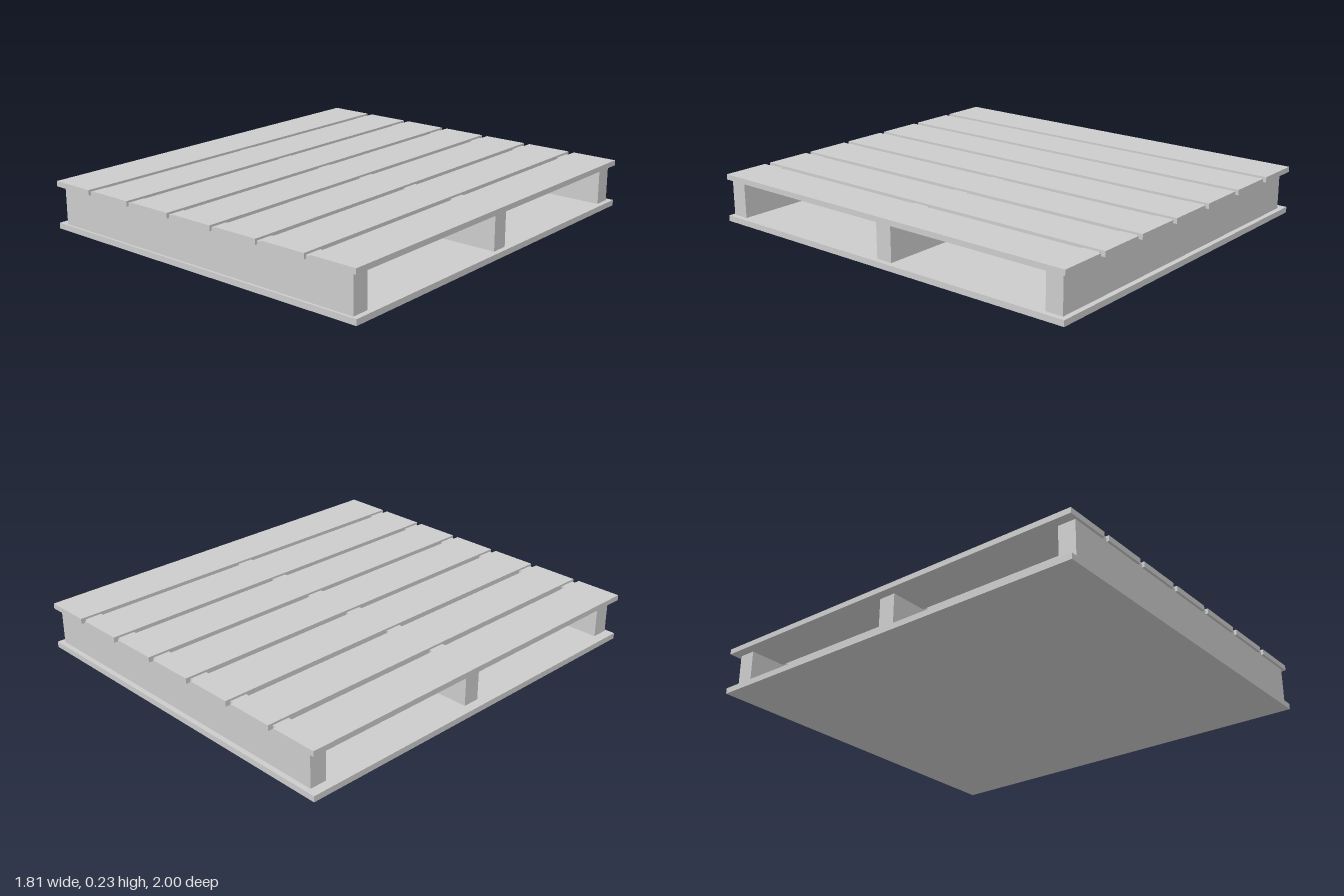
import * as THREE from 'three';

export function createModel() {
  const group = new THREE.Group();
  const material = new THREE.MeshStandardMaterial({ color: 0xcccccc, flatShading: true });

  // Box given by its extents along each axis
  function addBox(name, [x0, x1], [y0, y1], [z0, z1]) {
    const mesh = new THREE.Mesh(new THREE.BoxGeometry(x1 - x0, y1 - y0, z1 - z0), material);
    mesh.position.set((x0 + x1) / 2, (y0 + y1) / 2, (z0 + z1) / 2);
    mesh.name = name;
    group.add(mesh);
  }

  // Solid bottom board
  addBox('baseBoard', [-0.903, 0.903], [0, 0.028], [-1, 1]);

  // Three stringers, let slightly into the deck so they show between the slats
  [0.946, -0.016, -0.933].forEach((z, i) =>
    addBox(`stringer${i + 1}`, [-0.856, 0.877], [0.028, 0.222], [z - 0.042, z + 0.042]));

  // Seven evenly spaced deck slats
  const count = 7, pitch = 0.262, width = 0.231;
  for (let i = 0; i < count; i++) {
    const x = (i - (count - 1) / 2) * pitch - 0.001;
    addBox(`deckSlat${i + 1}`, [x - width / 2, x + width / 2], [0.206, 0.232], [-1, 1]);
  }

  return group;
}
